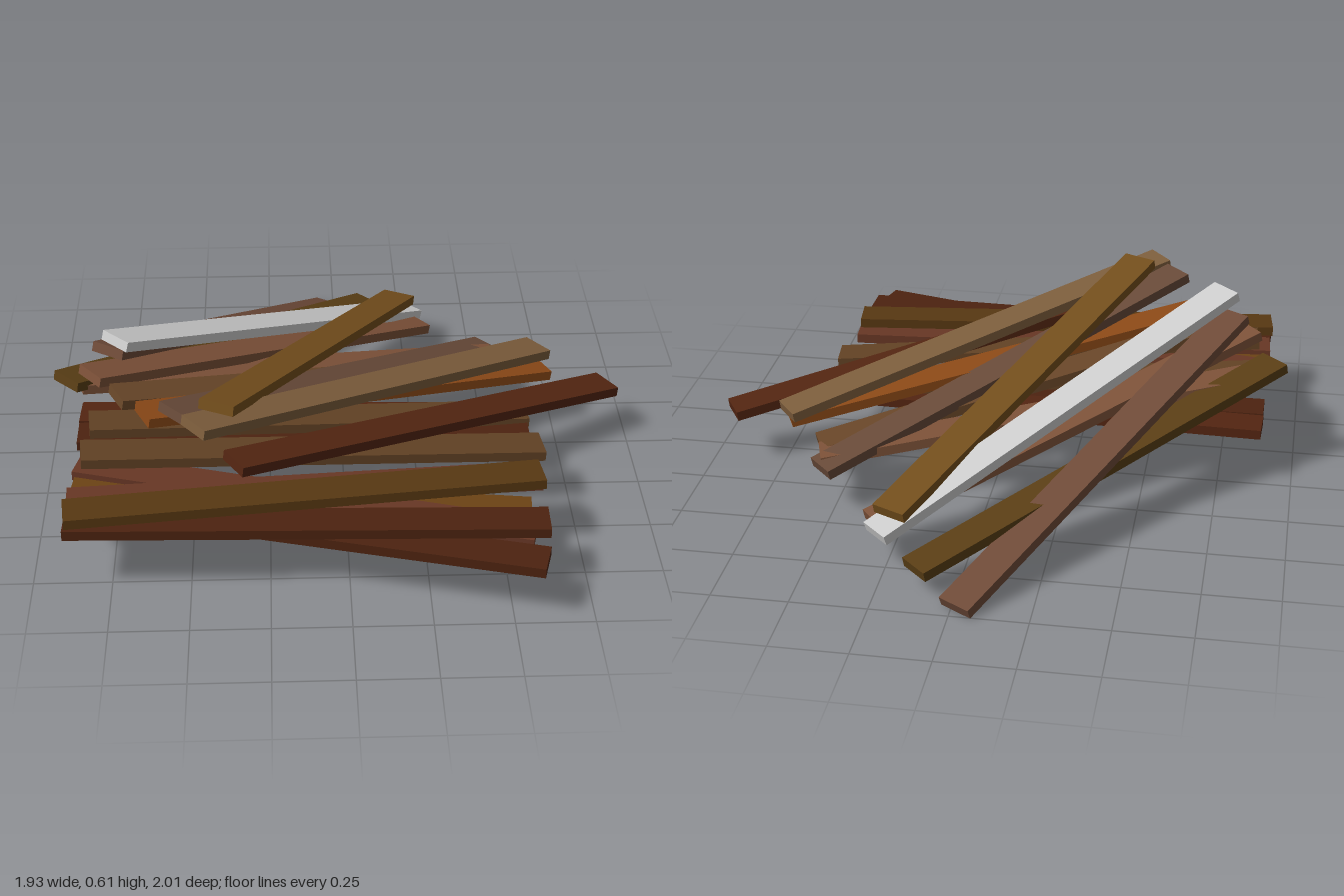
import * as THREE from 'three';

const WIDTH = 0.12, THICK = 0.033;

// Each plank: centre of one end, centre of the other end, colour
const bottomPlanks = [
  [[-0.89, 0.195, 0.06], [0.62, 0.195, 0.11], 0x532511],
  [[-0.89, 0.195, 0.19], [0.62, 0.195, 0.19], 0x4d2310],
  [[-0.88, 0.195, 0.55], [0.60, 0.195, 0.94], 0x4d2310],
  [[-0.87, 0.24, 0.43], [0.58, 0.195, 0.79], 0x683725],
  [[-0.88, 0.22, 0.52], [0.58, 0.185, 0.66], 0x6d4315],
  [[-0.89, 0.235, 0.75], [0.62, 0.235, 0.787], 0x4d2310],
  [[-0.89, 0.235, 0.63], [0.62, 0.235, 0.53], 0x683725],
  [[-0.89, 0.275, 0.75], [0.62, 0.275, 0.58], 0x583812],
  [[-0.84, 0.30, 0.28], [0.62, 0.21, 0.12], 0x624224],
  [[-0.85, 0.33, 0.50], [0.65, 0.22, 0.34], 0x624224],
];

const fannedPlanks = [
  [[-0.88, 0.37, 0.12], [0.56, 0.17, -0.33], 0x7c5138],
  [[-0.92, 0.395, 0.16], [0.13, 0.09, -0.88], 0x5a3e15],
  [[-0.83, 0.47, 0.25], [0.31, 0.12, -0.66], 0x7c5138],
  [[-0.74, 0.45, 0.35], [0.58, 0.17, -0.26], 0x684628],
  [[-0.65, 0.45, 0.46], [0.71, 0.22, -0.16], 0x8b4917],
  [[-0.77, 0.54, 0.21], [-0.015, 0.025, -0.975], 0x6e4a38],
  [[-0.55, 0.53, 0.58], [0.54, 0.16, -0.41], 0x684a38],
  [[-0.36, 0.405, 0.68], [0.93, 0.19, -0.09], 0x532511],
  [[-0.48, 0.54, 0.68], [0.70, 0.265, -0.22], 0x7c5d3c],
  [[-0.74, 0.605, 0.26], [0.28, 0.13, -0.75], 0xcccccc],
  [[-0.41, 0.56, 0.60], [0.24, 0.195, -0.73], 0x734e1c],
];

// Box stretched between two points, its broad face upwards
function makePlank([start, end, color], name) {
  const a = new THREE.Vector3(...start), b = new THREE.Vector3(...end);
  const plank = new THREE.Mesh(
    new THREE.BoxGeometry(WIDTH, THICK, a.distanceTo(b)),
    new THREE.MeshStandardMaterial({ color })
  );
  plank.position.copy(a).lerp(b, 0.5);
  plank.lookAt(b);
  plank.name = name;
  return plank;
}

export function createModel() {
  const pile = new THREE.Group();
  pile.name = 'plankPile';
  const layers = { bottomPlank: bottomPlanks, fannedPlank: fannedPlanks };
  for (const [name, planks] of Object.entries(layers)) {
    const layer = new THREE.Group();
    layer.name = name + 's';
    planks.forEach((p, i) => layer.add(makePlank(p, name + (i + 1))));
    pile.add(layer);
  }
  return pile;
}
